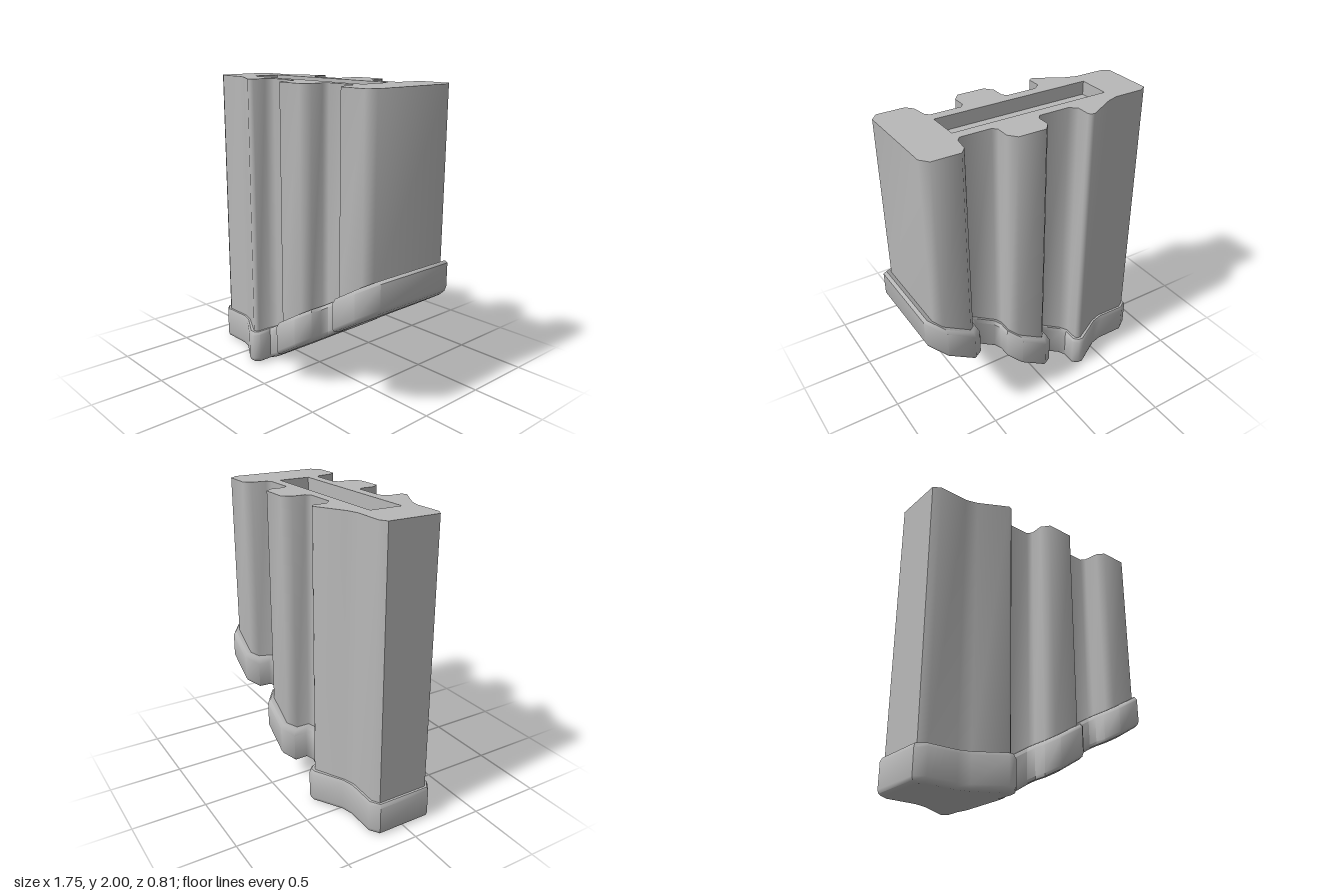
import * as THREE from 'three';
import { toCreasedNormals } from 'three/addons/utils/BufferGeometryUtils.js';

// Half outlines, [x, half width in z], point for point alike
const BODY = [
  [-0.85, 0.175], [-0.8, 0.205], [-0.6, 0.205], [-0.52, 0.23], [-0.33, 0.335], [-0.31, 0.33],
  [-0.295, 0.315], [-0.295, 0.22], [-0.25, 0.18], [-0.04, 0.18], [-0.015, 0.21], [-0.015, 0.3],
  [0.03, 0.355], [0.22, 0.355], [0.265, 0.3], [0.265, 0.21], [0.29, 0.18], [0.5, 0.18],
  [0.525, 0.21], [0.54, 0.31], [0.58, 0.355], [0.77, 0.355], [0.815, 0.3],
];
const BASE = [
  [-0.875, 0.185], [-0.81, 0.23], [-0.61, 0.23], [-0.53, 0.25], [-0.345, 0.365], [-0.3, 0.365],
  [-0.265, 0.33], [-0.265, 0.24], [-0.23, 0.215], [-0.085, 0.215], [-0.05, 0.25], [-0.05, 0.34],
  [0.025, 0.405], [0.215, 0.405], [0.295, 0.33], [0.295, 0.25], [0.325, 0.215], [0.47, 0.215],
  [0.5, 0.25], [0.5, 0.33], [0.575, 0.405], [0.765, 0.405], [0.87, 0.3],
];

// Underside and upper rim of the base: level at the left, then rising to the right
const low = (x) => Math.max(0, 0.62 * (x + 0.27));
const high = (x) => (x < -0.28 ? 0.235 + 0.015 * (x + 0.28) : 0.235 + 0.6 * (x + 0.28));

// Closed ring: inset 0 is the base outline, 1 the body outline
function ring(inset, height) {
  const half = BASE.map(([x, w], i) => {
    const px = x + (BODY[i][0] - x) * inset;
    return [px, height(px), w + (BODY[i][1] - w) * inset];
  });
  return [...half, ...half.map(([x, y, z]) => [x, y, -z]).reverse()];
}

// Skin rings from bottom to top, optionally closing the underside with strips
function loft(rings, closeBottom) {
  const n = rings[0].length;
  const index = [];
  const quad = (a, b, c, d) => index.push(a, b, c, a, c, d);
  for (let k = 0; k < rings.length - 1; k++) {
    for (let i = 0; i < n; i++) {
      const j = (i + 1) % n;
      quad(k * n + i, k * n + j, (k + 1) * n + j, (k + 1) * n + i);
    }
  }
  if (closeBottom) {
    for (let i = 0; i < n / 2 - 1; i++) quad(i, n - 1 - i, n - 2 - i, i + 1);
  }
  const g = new THREE.BufferGeometry();
  g.setAttribute('position', new THREE.Float32BufferAttribute(rings.flat(2), 3));
  g.setIndex(index);
  return toCreasedNormals(g, 0.9);
}

export function createModel() {
  const model = new THREE.Group();
  const grey = new THREE.MeshStandardMaterial({ color: 0xb8b8b8 });
  grey.name = 'grey';
  const add = (name, geometry) => {
    const mesh = new THREE.Mesh(geometry, grey);
    mesh.name = name;
    model.add(mesh);
    return mesh;
  };

  // Fluted upright walls, their feet sunk into the base
  add('bodyWalls', loft([ring(1, (x) => high(x) - 0.05), ring(1, () => 2)], false));

  // Flat top with a rectangular opening
  const x0 = -0.58, x1 = 0.51, w = 0.11, depth = 0.09;
  const shape = new THREE.Shape(ring(1, () => 2).map(([x, , z]) => new THREE.Vector2(x, -z)));
  shape.holes.push(new THREE.Path([[x0, -w], [x0, w], [x1, w], [x1, -w]]
    .map(([x, z]) => new THREE.Vector2(x, z))));
  add('bodyTop', new THREE.ShapeGeometry(shape).rotateX(-Math.PI / 2).translate(0, 2, 0));

  // Shallow slot: an inward-facing box without its lid
  const slot = new THREE.BoxGeometry(x1 - x0, depth, 2 * w);
  const faces = Array.from(slot.index.array);
  faces.splice(12, 6);
  slot.setIndex(faces.reverse());
  slot.clearGroups();
  const normals = slot.attributes.normal;
  for (let i = 0; i < normals.count; i++) {
    normals.setXYZ(i, -normals.getX(i), -normals.getY(i), -normals.getZ(i));
  }
  add('topSlot', slot.translate((x0 + x1) / 2, 2 - depth / 2, 0));

  // Bevelled, bent base plate
  add('basePlate', loft([
    ring(1.4, low),
    ring(0.9, low),
    ring(0.25, (x) => low(x) + 0.012),
    ring(0, (x) => low(x) + 0.035),
    ring(0, (x) => high(x) - 0.025),
    ring(0.4, high),
    ring(1.02, high),
  ], true));

  return model;
}
